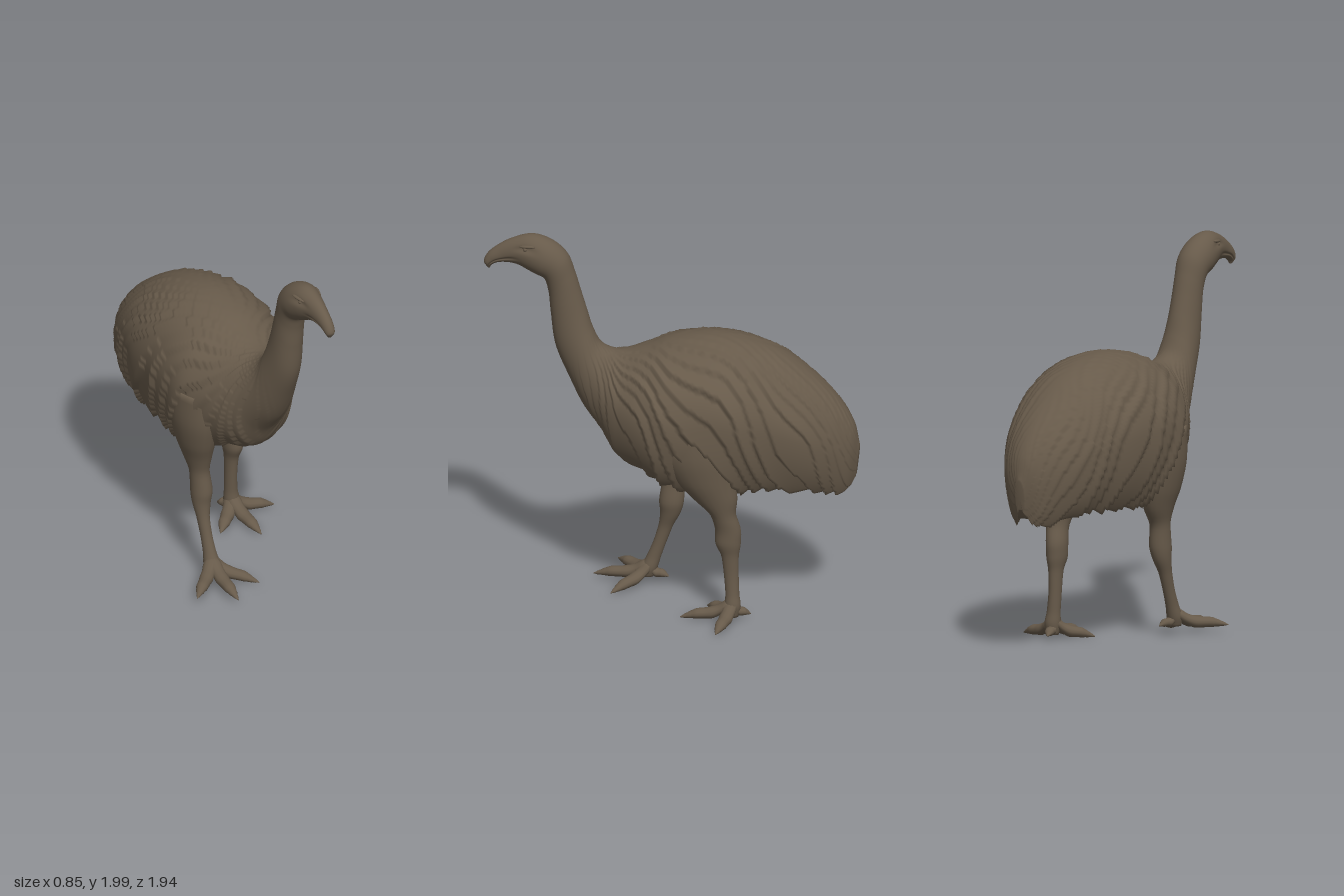
import * as THREE from 'three';

const plumage = new THREE.MeshStandardMaterial({ color: 0x675a4a });
plumage.name = 'earthy brown';

const V = (x, y, z) => new THREE.Vector3(x, y, z);
const { lerp, smoothstep } = THREE.MathUtils;
const CX = -0.02; // the body sits slightly off the middle

// Skin a list of closed rings and cap both ends
function skin(name, rings) {
  const n = rings[0].length, m = rings.length, pos = [], idx = [];
  rings.forEach(r => r.forEach(p => pos.push(p.x, p.y, p.z)));
  for (const r of [rings[0], rings[m - 1]]) {
    const c = r.reduce((s, p) => s.add(p), V(0, 0, 0)).divideScalar(n);
    pos.push(c.x, c.y, c.z);
  }
  for (let j = 0; j < n; j++) {
    const k = (j + 1) % n;
    for (let i = 0; i < m - 1; i++) {
      const a = i * n + j, b = i * n + k;
      idx.push(a, a + n, b, b, a + n, b + n);
    }
    idx.push(m * n, j, k, m * n + 1, (m - 1) * n + k, (m - 1) * n + j);
  }
  const g = new THREE.BufferGeometry();
  g.setAttribute('position', new THREE.Float32BufferAttribute(pos, 3));
  g.setIndex(idx);
  g.computeVertexNormals();
  const mesh = new THREE.Mesh(g, plumage);
  mesh.name = name;
  return mesh;
}

// Tail to beak: top z, top y, bottom z, bottom y, half width
const SPINE = [
  [-0.968, 0.92, -0.95, 0.76, 0.025], [-0.935, 1.05, -0.90, 0.69, 0.10],
  [-0.85, 1.18, -0.80, 0.70, 0.18], [-0.70, 1.32, -0.67, 0.73, 0.26],
  [-0.55, 1.42, -0.52, 0.74, 0.31], [-0.38, 1.48, -0.36, 0.73, 0.345],
  [-0.20, 1.50, -0.20, 0.73, 0.355], [0.00, 1.47, 0.00, 0.74, 0.34],
  [0.13, 1.42, 0.14, 0.77, 0.285], [0.24, 1.385, 0.27, 0.81, 0.215],
  [0.31, 1.385, 0.36, 0.95, 0.16], [0.37, 1.42, 0.45, 1.07, 0.122],
  [0.41, 1.50, 0.53, 1.23, 0.10], [0.44, 1.60, 0.60, 1.40, 0.085],
  [0.47, 1.70, 0.625, 1.58, 0.078], [0.50, 1.80, 0.638, 1.70, 0.077],
  [0.54, 1.90, 0.66, 1.765, 0.084], [0.62, 1.97, 0.70, 1.785, 0.087],
  [0.72, 2.00, 0.74, 1.805, 0.076], [0.82, 1.975, 0.79, 1.83, 0.053],
  [0.90, 1.93, 0.84, 1.84, 0.039], [0.95, 1.885, 0.895, 1.837, 0.032],
  [0.97, 1.84, 0.93, 1.82, 0.024], [0.955, 1.81, 0.94, 1.802, 0.008],
];

// Plumed body, neck, head and hooked beak in one continuous surface
function bodyAndHead() {
  const tops = new THREE.CatmullRomCurve3(SPINE.map(r => V(r[4], r[1], r[0])));
  const bottoms = new THREE.CatmullRomCurve3(SPINE.map(r => V(0, r[3], r[2])));
  const rings = [], steps = 260, sides = 128, last = SPINE.length - 1;
  for (let i = 0; i <= steps; i++) {
    const s = i / steps * last;
    const top = tops.getPoint(i / steps), bot = bottoms.getPoint(i / steps);
    const w = top.x;
    top.x = 0;
    const mid = top.clone().add(bot).multiplyScalar(0.5);
    const up = top.clone().sub(bot).multiplyScalar(0.5);
    const body = 1 - smoothstep(s, 9, 12.5);
    const skirt = 1 - smoothstep(s, 6.8, 9);
    const ring = [];
    for (let j = 0; j < sides; j++) {
      const a = j / sides * Math.PI * 2, side = a > Math.PI ? -1 : 1;
      const b = side > 0 ? a : Math.PI * 2 - a;
      let sx = Math.abs(Math.sin(b)), cy = Math.cos(b);
      // feathers run back along the spine, then turn down the flanks
      const p = 1.5 * s + 3.6 * Math.sin(Math.min(b, Math.PI / 2)) + 1.7 * b
        + 0.25 * Math.sin(3 * b + s + side) + 0.35 * Math.sin(2.3 * s + side * 2) + side * 0.2 + 20;
      const feather = p - Math.floor(p);
      const depth = 0.06 + 0.03 * Math.sin(Math.floor(p) * 2.4 + b * 2 + side);
      const under = skirt * smoothstep(-cy, 0.86, 0.96);
      if (cy < 0) {
        // skirt hangs to a ragged hem, then tucks up under the belly
        const hang = Math.max(-1, cy / 0.86) + under * 0.16 - (1 - under) * 0.08 * feather * cy * cy;
        sx = lerp(sx, Math.pow(sx, 0.72), skirt);
        cy = lerp(cy, hang, skirt);
      }
      const relief = 1 + body * depth * (feather - 0.45) * Math.min(1, sx * 1.4) * (1 - under);
      // mouth line along the beak and hollow eye sockets
      const beak = smoothstep(s, 18.5, 20);
      const mouth = beak * 0.15 * Math.exp(-Math.pow((b - 1.95) / 0.14, 2));
      const socket = 0.14 * Math.exp(-Math.pow((b - 1.22) / 0.2, 2) - Math.pow((s - 18.3) / 0.6, 2));
      const x = sx * w * relief * (1 - mouth - socket);
      ring.push(mid.clone().addScaledVector(up, cy * relief).add(V(CX + side * x, 0, 0)));
    }
    rings.push(ring);
  }
  return skin('bodyNeckAndHead', rings);
}

// Leg from hidden hip to ankle: x, y, z, radius across, radius along
function leg(name, rows) {
  const centre = new THREE.CatmullRomCurve3(rows.map(r => V(r[0], r[1], r[2])));
  const radius = new THREE.CatmullRomCurve3(rows.map(r => V(r[3], 0, r[4])));
  const rings = [];
  for (let i = 0; i <= 48; i++) {
    const c = centre.getPoint(i / 48), r = radius.getPoint(i / 48), ring = [];
    for (let j = 0; j < 20; j++) {
      const a = j / 20 * Math.PI * 2;
      ring.push(V(c.x + Math.sin(a) * r.x, c.y, c.z + Math.cos(a) * r.z));
    }
    rings.push(ring);
  }
  return skin(name, rings);
}

// Toe sloping out of the ankle, with soft knuckles and a claw
function toe(name, from, tip, thick) {
  const d = tip.clone().sub(from).setY(0).normalize();
  const across = V(0, 1, 0).cross(d);
  const radii = [0.75, 1, 0.93, 0.97, 0.86, 0.82, 0.6, 0.36, 0.08];
  const rings = [];
  const curve = new THREE.CatmullRomCurve3([
    from.clone().add(V(0, 0.025, 0)), from.clone().lerp(tip, 0.33).add(V(0, -0.008, 0)),
    from.clone().lerp(tip, 0.72).add(V(0, 0.002, 0)), tip,
  ]);
  for (let i = 0; i <= 24; i++) {
    const f = i / 3, k = Math.min(7, Math.floor(f));
    const r = thick * lerp(radii[k], radii[k + 1], smoothstep(f - k, 0, 1));
    const c = curve.getPoint(i / 24), ring = [];
    for (let j = 0; j < 12; j++) {
      const a = j / 12 * Math.PI * 2;
      const p = c.clone().addScaledVector(across, Math.sin(a) * r);
      p.y = Math.max(0.003, p.y + Math.cos(a) * r * 0.85);
      ring.push(p);
    }
    rings.push(ring);
  }
  return skin(name, rings);
}

function foot(name, ankle, tips) {
  const g = new THREE.Group();
  g.name = name;
  ['outerToe', 'middleToe', 'innerToe', 'hindToe'].forEach((t, i) =>
    g.add(toe(t, ankle, V(...tips[i]), i === 3 ? 0.03 : 0.038)));
  return g;
}

export function createModel() {
  const model = new THREE.Group();
  model.name = 'flightlessBird';
  model.add(bodyAndHead());

  // Brow ridges over small sunken eyes
  for (const s of [-1, 1]) {
    const brow = new THREE.Mesh(new THREE.SphereGeometry(1, 16, 10), plumage);
    brow.name = 'brow';
    brow.scale.set(0.012, 0.009, 0.045);
    brow.position.set(CX + s * 0.057, 1.95, 0.74);
    brow.rotation.set(0.1, -s * 0.25, 0);
    const eye = new THREE.Mesh(new THREE.SphereGeometry(0.011, 14, 10), plumage);
    eye.name = 'eye';
    eye.position.set(CX + s * 0.056, 1.934, 0.75);
    model.add(brow, eye);
  }

  // Standing leg on the left, stepping leg on the right
  model.add(leg('leftLeg', [
    [0.19, 1.12, -0.15, 0.13, 0.21], [0.20, 0.92, -0.16, 0.125, 0.20],
    [0.20, 0.78, -0.20, 0.105, 0.16], [0.205, 0.68, -0.25, 0.075, 0.115],
    [0.20, 0.58, -0.295, 0.055, 0.065], [0.19, 0.50, -0.315, 0.053, 0.067],
    [0.19, 0.43, -0.315, 0.05, 0.066], [0.19, 0.36, -0.325, 0.036, 0.045],
    [0.19, 0.25, -0.332, 0.032, 0.038], [0.195, 0.15, -0.338, 0.035, 0.036],
    [0.20, 0.09, -0.34, 0.042, 0.042], [0.20, 0.03, -0.34, 0.032, 0.03],
  ]));
  model.add(foot('leftFoot', V(0.20, 0.08, -0.335), [
    [0.42, 0.015, -0.28], [0.21, 0.014, -0.07], [0.04, 0.014, -0.19], [0.17, 0.035, -0.43],
  ]));
  model.add(leg('rightLeg', [
    [-0.23, 1.10, -0.02, 0.12, 0.20], [-0.24, 0.92, 0.00, 0.11, 0.17],
    [-0.235, 0.78, 0.00, 0.09, 0.135], [-0.225, 0.68, 0.00, 0.068, 0.098],
    [-0.22, 0.58, 0.018, 0.05, 0.06], [-0.215, 0.48, 0.028, 0.055, 0.064],
    [-0.22, 0.41, 0.035, 0.047, 0.053], [-0.225, 0.33, 0.06, 0.033, 0.037],
    [-0.225, 0.24, 0.09, 0.03, 0.034], [-0.225, 0.16, 0.12, 0.033, 0.037],
    [-0.225, 0.10, 0.142, 0.041, 0.042], [-0.225, 0.05, 0.15, 0.03, 0.03],
  ]));
  model.add(foot('rightFoot', V(-0.225, 0.095, 0.145), [
    [-0.43, 0.05, 0.33], [-0.25, 0.035, 0.435], [-0.05, 0.014, 0.32], [-0.20, 0.06, 0.04],
  ]));
  return model;
}
